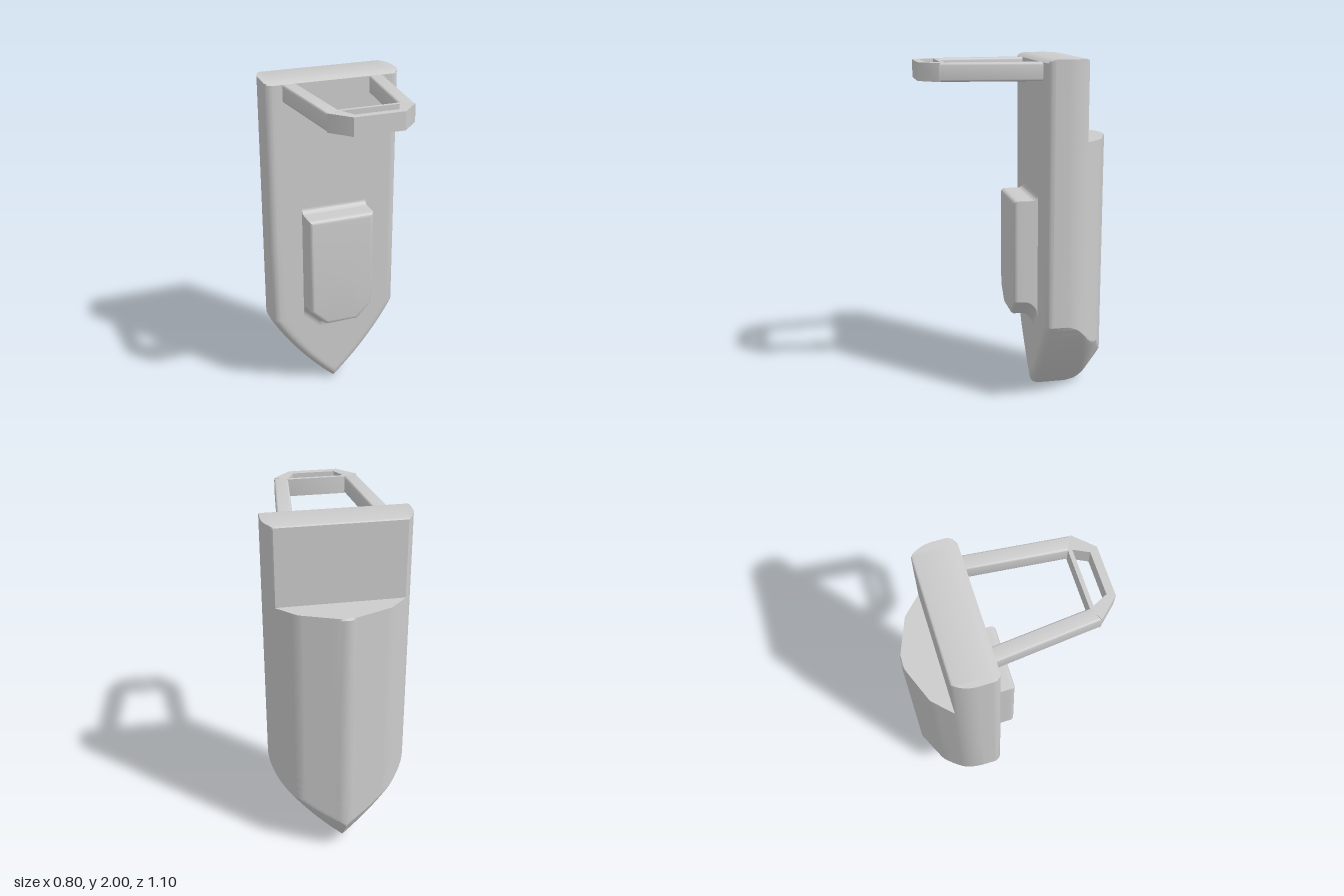
import * as THREE from 'three';
import { toCreasedNormals } from 'three/addons/utils/BufferGeometryUtils.js';

const material = new THREE.MeshStandardMaterial({ color: 0xcccccc });

// Skin over closed rings of points that run counter-clockwise around the loft direction
function loft(rings, crease) {
  const pos = [];
  const tri = (a, b, c) => {
    const area = b.clone().sub(a).cross(c.clone().sub(a)).length();
    if (area > 1e-9) pos.push(...a.toArray(), ...b.toArray(), ...c.toArray());
  };
  for (let i = 0; i < rings.length - 1; i++) {
    const lo = rings[i], hi = rings[i + 1], n = lo.length;
    for (let j = 0; j < n; j++) {
      const k = (j + 1) % n;
      tri(lo[j], lo[k], hi[k]);
      tri(lo[j], hi[k], hi[j]);
    }
  }
  const geo = new THREE.BufferGeometry();
  geo.setAttribute('position', new THREE.Float32BufferAttribute(pos, 3));
  return toCreasedNormals(geo, crease);
}

function addMesh(group, name, geo) {
  const mesh = new THREE.Mesh(geo, material);
  mesh.name = name;
  group.add(mesh);
}

// Half outline of the pointed body: curve from the tip, then a straight side
const outline = new THREE.QuadraticBezierCurve(
  new THREE.Vector2(0, 0), new THREE.Vector2(0.25, 0.23), new THREE.Vector2(0.4, 0.5)
).getPoints(40);
const edge = [...outline, new THREE.Vector2(0.4, 2.5)];

// Distance of a point from the outline
function inset(x, y) {
  let best = Infinity;
  for (let i = 0; i < edge.length - 1; i++) {
    const a = edge[i], b = edge[i + 1], dx = b.x - a.x, dy = b.y - a.y;
    const t = THREE.MathUtils.clamp(((x - a.x) * dx + (y - a.y) * dy) / (dx * dx + dy * dy), 0, 1);
    best = Math.min(best, Math.hypot(x - a.x - t * dx, y - a.y - t * dy));
  }
  return best;
}

// Rounded shoulder that runs out into a 45 degree slope
function shoulder(start, s) {
  const R = 0.19, end = R * (1 - Math.SQRT1_2);
  return s < end
    ? start + Math.sqrt(Math.max(0, R * R - (R - s) ** 2))
    : start + R * Math.SQRT1_2 + s - end;
}

// Depth behind z = 0 of the front and back surfaces
function frontDepth(s) {
  const r = 0.05;
  return s < r ? 0.11 + r - Math.sqrt(Math.max(0, r * r - (r - s) ** 2)) : 0.11;
}
function backDepth(x, s) {
  const ridge = x < 0.039 ? 0.55 - 5 * x * x : 0.459 + 0.39 * (0.25 - x);
  return Math.min(ridge, shoulder(0.23, 0.4 - x), shoulder(0.335, s));
}

function bodyGeometry() {
  // Columns across half the width, denser toward the edge
  const half = [];
  for (let k = 0; k < 14; k++) half.push(0.875 * k / 14);
  half.push(0.075, 0.0975);
  for (let k = 0; k <= 14; k++) half.push(1 - 0.125 * (1 - k / 14) ** 2);
  half.sort((a, b) => a - b);
  const cols = [...half.slice(1).reverse().map(t => -t), ...half];

  const ring = (y, w, minFront, maxBack) => {
    const front = [], back = [];
    for (const t of cols) {
      const x = Math.abs(t) * w, s = inset(x, y);
      const b = Math.min(backDepth(x, s), maxBack);
      const f = Math.min(Math.max(frontDepth(s), minFront), b);
      front.push(new THREE.Vector3(t * w, y, -f));
      back.unshift(new THREE.Vector3(t * w, y, -b));
    }
    return [...front, ...back];
  };

  const rings = outline.map(p => ring(p.y, p.x, 0, 1));
  // Straight part, rear ledge, thinner top and its bevelled edge: [y, min front, max back]
  for (const [y, f, b] of [
    [1, 0, 1], [1.54, 0, 1], [1.55, 0, 0.54], [1.55, 0, 0.355],
    [1.98, 0, 0.355], [1.99, 0.127, 0.355], [1.996, 0.143, 0.35], [2, 0.16, 0.34], [2, 1, 0.34],
  ]) rings.push(ring(y, 0.4, f, b));
  return loft(rings, 0.42);
}

// Raised plate with rounded front edges and flared top and bottom roots
function plateGeometry() {
  const ring = (z, i, top, bottom) => [
    [-0.2 + i, 0.6 + i * 0.4 - bottom], [-0.1 + i * 0.4, 0.5 + i - bottom],
    [0.1 - i * 0.4, 0.5 + i - bottom], [0.2 - i, 0.6 + i * 0.4 - bottom],
    [0.2 - i, 1.2 - i + top], [-0.2 + i, 1.2 - i + top],
  ].map(([x, y]) => new THREE.Vector3(x, y, z));
  const rings = [];
  const flare = (z, r) => {
    const u = Math.min(1, Math.max(0, (z + 0.11) / r));
    return r * (1 - Math.sqrt(1 - (1 - u) ** 2));
  };
  rings.push(ring(-0.14, 0, 0.03, 0.085));
  for (let k = 0; k <= 16; k++) {
    const z = -0.11 + 0.085 * (k / 16) ** 1.5;
    rings.push(ring(z, 0, flare(z, 0.03), flare(z, 0.085)));
  }
  for (let k = 0; k <= 6; k++) {
    const a = k / 6 * Math.PI / 2;
    rings.push(ring(0.005 + 0.025 * Math.sin(a), 0.025 * (1 - Math.cos(a)), 0, 0));
  }
  rings.push(rings[0].map(() => new THREE.Vector3(0, 0.85, 0.03)));
  return loft(rings, 0.5);
}

// Flat bar drawn in plan (x, z), 0.1 thick below y = 1.98
function planBar(points, hole, bevel) {
  const vec = list => list.map(([x, z]) => new THREE.Vector2(x, z));
  const shape = new THREE.Shape(vec(points));
  if (hole) shape.holes.push(new THREE.Path(vec(hole)));
  const geo = new THREE.ExtrudeGeometry(shape, {
    depth: 0.1 - 2 * bevel, bevelEnabled: bevel > 0, bevelSize: bevel,
    bevelThickness: bevel, bevelOffset: -bevel, bevelSegments: 3,
  });
  geo.rotateX(Math.PI / 2).translate(0, 1.98 - bevel, 0);
  return toCreasedNormals(geo, 0.6);
}

export function createModel() {
  const model = new THREE.Group();
  model.name = 'model';
  addMesh(model, 'body', bodyGeometry());
  addMesh(model, 'frontPlate', plateGeometry());

  // Handle: two tapering arms and a chamfered end with a slot
  const handle = new THREE.Group();
  handle.name = 'handle';
  for (const [name, m] of [['leftArm', 1], ['rightArm', -1]]) {
    const arm = [[0.218, -0.14], [0.301, -0.14], [0.24, 0.445], [0.162, 0.425]];
    addMesh(handle, name, planBar(arm.map(([x, z]) => [m * x, z]), null, 0.012));
  }
  addMesh(handle, 'handleEnd', planBar(
    [[-0.163, 0.405], [0.163, 0.405], [0.24, 0.44], [0.238, 0.447], [0.14, 0.55],
      [-0.14, 0.55], [-0.238, 0.447], [-0.24, 0.44]],
    [[-0.16, 0.427], [-0.12, 0.508], [0.12, 0.508], [0.16, 0.427]], 0));
  model.add(handle);
  return model;
}
